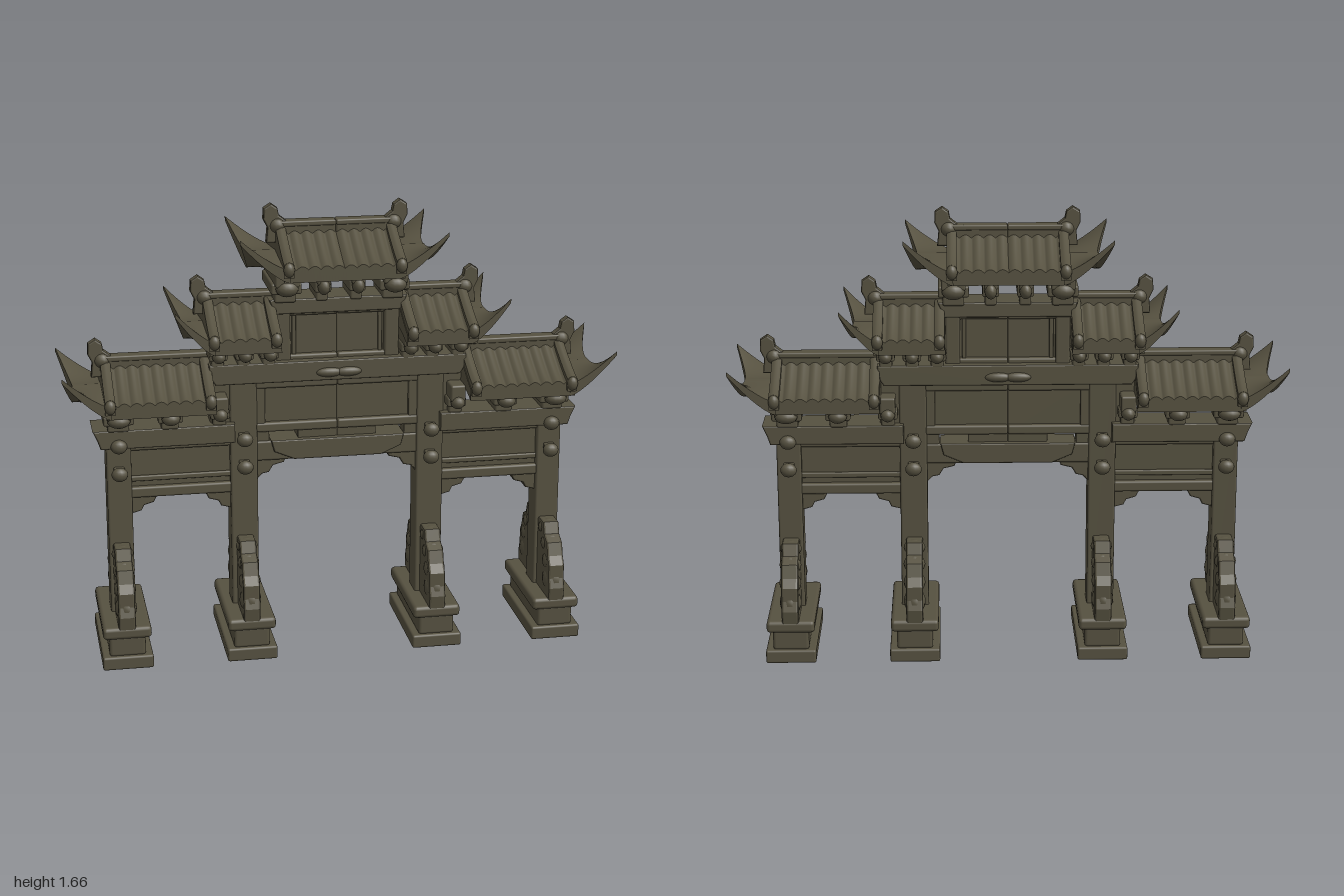
import * as THREE from 'three';
import { RoundedBoxGeometry } from 'three/addons/geometries/RoundedBoxGeometry.js';

const stone = new THREE.MeshStandardMaterial({ color: 0x565140 });
stone.name = 'dark olive stone';

function add(parent, name, geometry, x = 0, y = 0, z = 0) {
  const mesh = new THREE.Mesh(geometry, stone);
  mesh.name = name;
  mesh.position.set(x, y, z);
  parent.add(mesh);
  return mesh;
}

// block given by its x range, y range and half depth
function block(parent, name, x0, x1, y0, y1, hz, r = 0.008, z = 0) {
  const g = new RoundedBoxGeometry(x1 - x0, y1 - y0, hz * 2, 2, r);
  return add(parent, name, g, (x0 + x1) / 2, (y0 + y1) / 2, z);
}

function ball(parent, name, x, y, z, rx, ry = rx, rz = rx) {
  const m = add(parent, name, new THREE.SphereGeometry(1, 14, 10), x, y, z);
  m.scale.set(rx, ry, rz);
  return m;
}

// outline in x and y, extruded evenly about z = 0
function plate(parent, name, points, depth, bevel = 0.006) {
  const shape = new THREE.Shape(points.map(p => new THREE.Vector2(p[0], p[1])));
  const g = new THREE.ExtrudeGeometry(shape, {
    depth, bevelEnabled: bevel > 0, bevelSize: bevel, bevelThickness: bevel, bevelSegments: 2,
  });
  g.translate(0, 0, -depth / 2);
  return add(parent, name, g);
}

// closed slab whose upper and lower faces follow rules of t (0..1 along x) and w (-1..1 along z)
function slab(parent, name, x0, x1, hz, nx, top, bottom, inset = () => 0) {
  const g = new THREE.BoxGeometry(1, 1, 2, nx, 1, 24);
  const p = g.attributes.position;
  for (let i = 0; i < p.count; i++) {
    const t = p.getX(i) + 0.5, w = p.getZ(i), up = p.getY(i) > 0;
    p.setXYZ(i, x0 + (x1 - x0) * t - inset(t, w), (up ? top : bottom)(t, w), w * hz);
  }
  g.computeVertexNormals();
  return add(parent, name, g);
}

// right half of one roof: tiled slopes, upswept end, ridges and finial
function roof(parent, name, xIn, xGable, xTip, e, innerRidge) {
  const r = new THREE.Group();
  r.name = name;
  parent.add(r);
  const slope = w => 0.045 + 0.1 * Math.pow(1 - Math.abs(w), 1.2);
  const under = w => 0.035 * (1 - w * w);
  const rolls = Math.round((xGable - xIn) / 0.045);
  slab(r, 'tiledSlopes', xIn, xGable, 0.2, rolls * 8,
    (t, w) => e + slope(w) + 0.012 * Math.abs(Math.sin(t * rolls * Math.PI)),
    (t, w) => e + under(w));
  const lift = (t, w) => Math.pow(t, 1.35) * w * w;
  slab(r, 'upsweptEave', xGable - 0.02, xTip, 0.205, 14,
    (t, w) => e + 0.047 + 0.03 * (1 - Math.abs(w)) + 0.113 * lift(t, w),
    (t, w) => e + under(w) * (1 - t) + 0.02 * t * (1 - w * w) + 0.145 * lift(t, w),
    (t, w) => 0.045 * t * (1 - w * w));
  // sloping ridges over the gable ends
  for (const x of innerRidge ? [xIn + 0.02, xGable - 0.015] : [xGable - 0.015]) {
    slab(r, 'slopingRidge', x - 0.018, x + 0.018, 0.213, 4,
      (t, w) => e + slope(w) + 0.022 + 0.01 * Math.sin(t * Math.PI), (t, w) => e + 0.02 + under(w));
    for (const z of [-0.212, 0.212]) ball(r, 'ridgeEnd', x, e + 0.05, z, 0.02, 0.026, 0.018);
  }
  block(r, 'mainRidge', xIn, xGable, e + 0.12, e + 0.172, 0.02);
  block(r, 'ridgeCap', xIn, xGable + 0.01, e + 0.162, e + 0.182, 0.026, 0.006);
  // curled finial
  const x = xGable;
  plate(r, 'finial', [[x - 0.035, e + 0.11], [x + 0.03, e + 0.11], [x + 0.025, e + 0.16],
    [x + 0.04, e + 0.19], [x + 0.038, e + 0.225], [x + 0.018, e + 0.238], [x, e + 0.225],
    [x - 0.005, e + 0.2], [x - 0.03, e + 0.18]], 0.022);
  ball(r, 'finialCurl', x - 0.005, e + 0.165, 0, 0.032, 0.03, 0.034);
}

// stepped bracket cluster carrying a roof
function bracket(parent, x, y, h, hw, reach) {
  const g = new THREE.Group();
  g.name = 'roofBracket';
  parent.add(g);
  block(g, 'bracketFoot', x - hw * 0.7, x + hw * 0.7, y, y + h * 0.45, reach * 0.6);
  block(g, 'bracketArm', x - hw, x + hw, y + h * 0.35, y + h * 0.75, reach * 0.8);
  block(g, 'bracketHead', x - hw * 0.8, x + hw * 0.8, y + h * 0.65, y + h + 0.03, reach);
  for (const z of [-reach, reach])
    ball(g, 'bracketKnob', x, y + h * 0.6, z * 0.9, hw * 0.75, h * 0.28, 0.03);
}

function pillar(parent, name, x, hw, top) {
  const g = new THREE.Group();
  g.name = name;
  parent.add(g);
  block(g, 'plinth', x - 0.092, x + 0.092, 0, 0.05, 0.22);
  block(g, 'plinthNeck', x - 0.066, x + 0.066, 0.045, 0.125, 0.205, 0.012);
  block(g, 'plinthSlab', x - 0.088, x + 0.088, 0.115, 0.16, 0.214, 0.014);
  block(g, 'shaft', x - hw, x + hw, 0.15, top, 0.05);
  // scrolled bracing stone in front of and behind the shaft
  const half = [[0.205, 0.155], [0.212, 0.2], [0.2, 0.235], [0.2, 0.285], [0.18, 0.315],
    [0.165, 0.36], [0.125, 0.38], [0.11, 0.42]];
  const outline = [...half, ...half.map(p => [-p[0], p[1]]).reverse()];
  const brace = plate(g, 'bracingStone', outline, 0.046, 0.008);
  brace.rotation.y = Math.PI / 2;
  brace.position.x = x;
  for (const s of [-1, 1]) {
    [[0.165, 0.22, 0.05], [0.155, 0.29, 0.042], [0.125, 0.35, 0.036], [0.085, 0.4, 0.03]].forEach(
      p => ball(g, 'scroll', x, p[1], s * p[0], 0.04, p[2], p[2]));
  }
}

// beam panel with raised rails on both faces
function panel(parent, name, x0, x1, y0, y1, hz, rail) {
  const g = new THREE.Group();
  g.name = name;
  parent.add(g);
  block(g, 'panelField', x0, x1, y0, y1, hz - 0.02, 0.004);
  block(g, 'lowerRail', x0, x1, y0, y0 + rail, hz);
  block(g, 'upperRail', x0, x1, y1 - rail, y1, hz);
}

export function createModel() {
  const model = new THREE.Group();
  model.name = 'memorialGateway';
  const half = new THREE.Group();
  half.name = 'halfGateway';

  // pillars and their knobs
  pillar(half, 'outerPillar', 0.8, 0.045, 0.84);
  pillar(half, 'innerPillar', 0.345, 0.05, 1.08);
  for (const x of [0.8, 0.345]) for (const y of [0.7, 0.805]) {
    block(half, 'pillarTie', x - 0.02, x + 0.02, y - 0.02, y + 0.02, 0.075, 0.006);
    for (const z of [-0.08, 0.08]) ball(half, 'pillarKnob', x, y, z, 0.03, 0.026, 0.022);
  }
  block(half, 'pillarShoulder', 0.385, 0.465, 0.85, 1.06, 0.045);

  // side bay
  panel(half, 'sideBeam', 0.385, 0.765, 0.595, 0.815, 0.045, 0.04);
  block(half, 'sidePanelRib', 0.385, 0.765, 0.655, 0.675, 0.035, 0.005);
  plate(half, 'sideCornice', [[0.385, 0.8], [0.86, 0.8], [0.87, 0.83], [0.885, 0.86], [0.385, 0.86]], 0.14);
  const corbel = [[0, 0.61], [0, 0.535], [0.035, 0.545], [0.045, 0.565], [0.08, 0.575], [0.1, 0.61]];
  plate(half, 'sideCorbel', corbel.map(p => [0.39 + p[0], p[1]]), 0.05);
  plate(half, 'sideCorbel', corbel.map(p => [0.76 - p[0], p[1]]).reverse(), 0.05);

  // half of the central bay, open beside the lintel
  block(half, 'lintelBeam', 0, 0.3, 0.71, 0.785, 0.045);
  plate(half, 'lintelCarving', [[0, 0.72], [0.16, 0.72], [0.23, 0.75], [0.24, 0.785], [0, 0.785]], 0.11);
  block(half, 'lintelStrut', 0, 0.145, 0.78, 0.83, 0.04, 0.005);
  block(half, 'lintelJoint', 0.25, 0.3, 0.78, 0.83, 0.04, 0.005);
  plate(half, 'centralCorbel', [[0.3, 0.635], [0.3, 0.72], [0.19, 0.72], [0.2, 0.7], [0.24, 0.69],
    [0.255, 0.665], [0.28, 0.66]].reverse(), 0.05);
  panel(half, 'centralPanel', 0, 0.3, 0.82, 1.02, 0.05, 0.035);
  block(half, 'centralPanelStile', 0.265, 0.3, 0.82, 1.02, 0.046, 0.005);
  plate(half, 'greatBeam', [[0, 1.02], [0.445, 1.02], [0.465, 1.05], [0.465, 1.085], [0, 1.085]], 0.15);
  ball(half, 'beamRosette', 0.035, 1.045, 0.078, 0.05, 0.018, 0.018);
  ball(half, 'beamRosette', 0.035, 1.045, -0.078, 0.05, 0.018, 0.018);

  // upper tablet and its frame
  panel(half, 'upperTablet', 0, 0.2, 1.08, 1.28, 0.05, 0.028);
  block(half, 'tabletStile', 0.172, 0.225, 1.08, 1.29, 0.055);
  block(half, 'tabletMoulding', 0.15, 0.165, 1.105, 1.255, 0.042, 0.004);
  plate(half, 'tabletCap', [[0, 1.27], [0.225, 1.27], [0.245, 1.315], [0, 1.315]], 0.13);

  // roofs, three tiers
  roof(half, 'sideRoof', 0.46, 0.85, 1.0, 0.945, true);
  roof(half, 'middleRoof', 0.225, 0.48, 0.6, 1.16, true);
  roof(half, 'topRoof', 0, 0.215, 0.37, 1.41, false);

  // brackets below the roofs
  bracket(half, 0.8, 0.86, 0.09, 0.055, 0.135);
  bracket(half, 0.615, 0.86, 0.09, 0.045, 0.135);
  bracket(half, 0.435, 0.86, 0.09, 0.035, 0.12);
  for (const x of [0.44, 0.345, 0.255]) bracket(half, x, 1.08, 0.09, 0.033, 0.135);
  bracket(half, 0.195, 1.31, 0.105, 0.055, 0.145);
  bracket(half, 0.062, 1.31, 0.105, 0.03, 0.135);

  // the gateway is the same turned half round
  const other = half.clone();
  other.rotation.y = Math.PI;
  model.add(half, other);
  return model;
}
